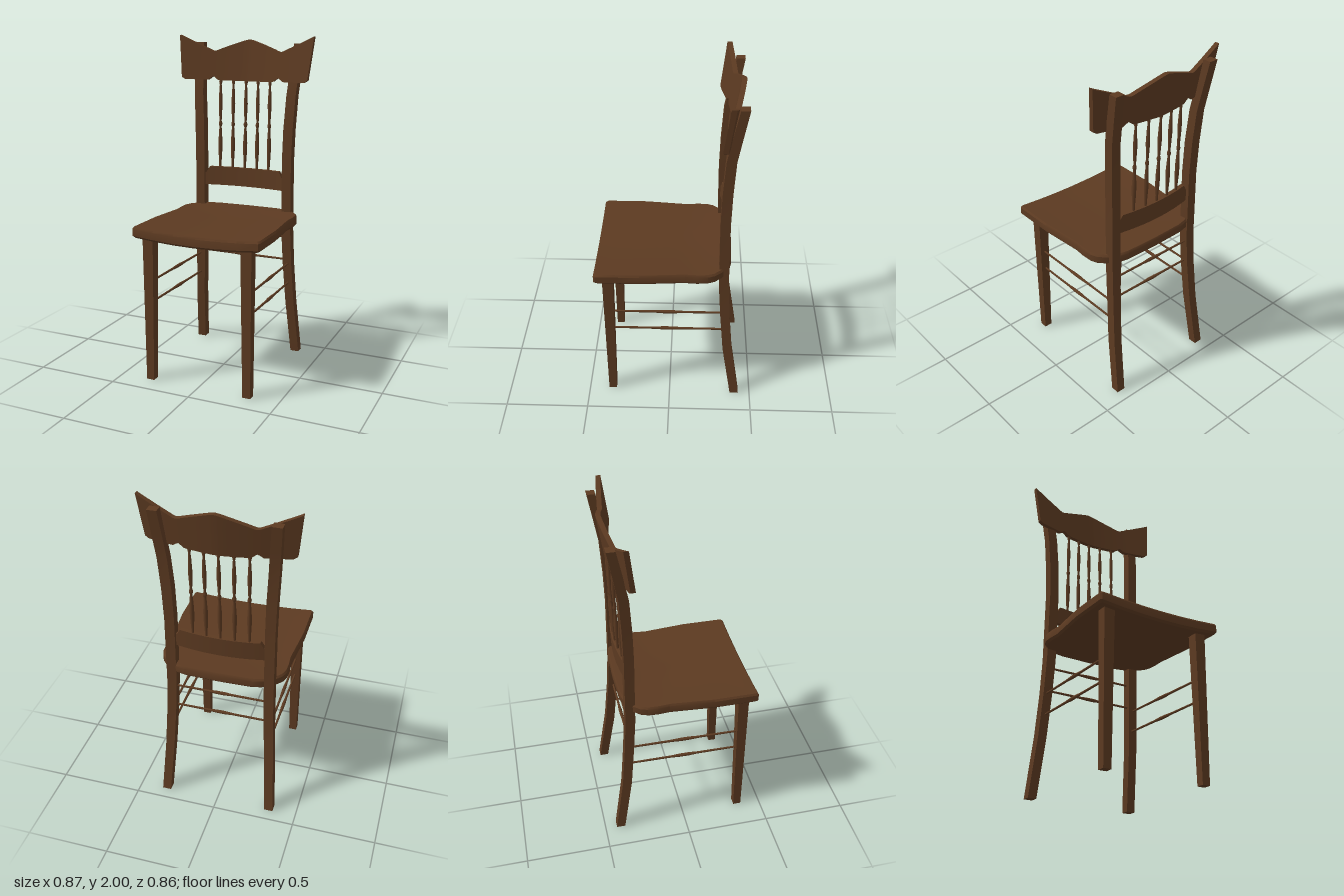
import * as THREE from 'three';
import { toCreasedNormals } from 'three/addons/utils/BufferGeometryUtils.js';

const wood = new THREE.MeshStandardMaterial({ color: 0x5c3a21 });
wood.name = 'brown wood';

function mesh(name, geometry) {
  const m = new THREE.Mesh(geometry, wood);
  m.name = name;
  return m;
}

// Square post lofted through sections [y, inner x, outer x, back z, front z]
function post(name, sections, side) {
  const n = sections.length - 1;
  const g = new THREE.BoxGeometry(1, 1, 1, 1, n, 1);
  const p = g.attributes.position;
  for (let i = 0; i < p.count; i++) {
    const [y, x0, x1, z0, z1] = sections[Math.round((p.getY(i) + 0.5) * n)];
    const outer = p.getX(i) * side > 0;
    p.setXYZ(i, side * (outer ? x1 : x0), y, p.getZ(i) > 0 ? z1 : z0);
  }
  return mesh(name, toCreasedNormals(g, 0.4));
}

// Bent board: half profile columns [x, bottom y, top y] mirrored, then bowed and leaned
function board(name, half, thick, taper, zAt) {
  const cols = [...half.slice(1).reverse().map(([x, a, b]) => [-x, a, b]), ...half];
  const n = cols.length - 1;
  const g = new THREE.BoxGeometry(1, 1, 1, n, 4, 1);
  const p = g.attributes.position;
  for (let i = 0; i < p.count; i++) {
    const [x, lo, hi] = cols[Math.round((p.getX(i) + 0.5) * n)];
    const v = p.getY(i) + 0.5;
    const y = lo + (hi - lo) * v;
    const px = x * (1 - taper * (1 - v));
    p.setXYZ(i, px, y, zAt(px, y) + p.getZ(i) * thick);
  }
  return mesh(name, toCreasedNormals(g, 0.5));
}

// Turned rod between two points, profile given as [radius, fraction of length]
function rod(name, a, b, profile) {
  const dir = b.clone().sub(a);
  const len = dir.length();
  const m = mesh(name, new THREE.LatheGeometry(
    profile.map(([r, t]) => new THREE.Vector2(r, t * len)), 10));
  m.position.copy(a);
  m.quaternion.setFromUnitVectors(new THREE.Vector3(0, 1, 0), dir.normalize());
  return m;
}

// Saddled seat: shrinking copies of the outline stacked from below to above
function seat() {
  const half = [[0, 0.43], [0.13, 0.43], [0.26, 0.43], [0.385, 0.43], [0.393, 0.42],
    [0.393, 0.3], [0.393, 0.17], [0.382, 0.04], [0.371, -0.09], [0.377, -0.16],
    [0.375, -0.22], [0.36, -0.26], [0.325, -0.3], [0.26, -0.34], [0.2, -0.353], [0, -0.358]];
  const outline = [...half, ...half.slice(1, -1).reverse().map(([x, z]) => [-x, z])];
  // [outline scale, underside 0 / top 1, height offset]
  const rings = [[0, 0, 0], [0.4, 0, 0], [0.75, 0, 0], [0.97, 0, 0], [1, 0, 0.012],
    [1, 1, -0.012], [0.98, 1, 0], [0.75, 1, 0], [0.4, 1, 0], [0, 1, 0]];
  const pos = [], idx = [], n = outline.length;
  rings.forEach(([s, top, off], r) => outline.forEach(([ox, oz], i) => {
    const x = ox * s, z = oz * s + 0.02 * (1 - s);
    const dip = (1 - (x / 0.393) ** 2) * THREE.MathUtils.smoothstep(z, -0.36, -0.1);
    pos.push(x + 0.008, (top ? 0.945 - 0.018 * dip : 0.882 - 0.022 * dip) + off, z);
    if (r === 0) return;
    const j = (i + 1) % n, a = (r - 1) * n + i, b = (r - 1) * n + j, c = r * n + j, d = r * n + i;
    if (r > 1) idx.push(a, b, c);
    if (r < rings.length - 1) idx.push(a, c, d);
    if (r === 1) idx.push(a, c, d);
  }));
  const g = new THREE.BufferGeometry();
  g.setAttribute('position', new THREE.Float32BufferAttribute(pos, 3));
  g.setIndex(idx);
  g.computeVertexNormals();
  return mesh('seat', toCreasedNormals(g, 0.6));
}

export function createModel() {
  const chair = new THREE.Group();
  chair.name = 'chair';
  chair.add(seat());

  // Legs, with the back pair running up as the back posts
  const frontLeg = [[0, 0.285, 0.333, 0.333, 0.38], [0.885, 0.272, 0.338, 0.325, 0.388]];
  const backPost = [
    [0, 0.305, 0.358, -0.43, -0.378], [0.35, 0.284, 0.338, -0.377, -0.322],
    [0.6, 0.27, 0.326, -0.355, -0.3], [0.82, 0.262, 0.32, -0.342, -0.285],
    [1.25, 0.26, 0.318, -0.337, -0.28], [1.45, 0.264, 0.323, -0.342, -0.285],
    [1.65, 0.275, 0.333, -0.353, -0.298], [1.8, 0.285, 0.343, -0.379, -0.326],
    [1.955, 0.297, 0.352, -0.407, -0.358]];
  for (const side of [1, -1]) {
    const word = side > 0 ? 'left' : 'right';
    chair.add(post(word + 'FrontLeg', frontLeg, side), post(word + 'BackPost', backPost, side));
  }

  // Crest rail with peaked top and notched lower edge
  const crestZ = (x, y) => -0.352 + 0.07 * (Math.abs(x) / 0.43) ** 1.4 - 0.15 * (y - 1.73);
  chair.add(board('crestRail', [
    [0, 1.725, 1.975], [0.03, 1.725, 1.968], [0.1, 1.726, 1.945], [0.17, 1.727, 1.92],
    [0.195, 1.73, 1.91], [0.21, 1.742, 1.905], [0.225, 1.752, 1.905], [0.24, 1.745, 1.911],
    [0.26, 1.73, 1.92], [0.33, 1.73, 1.951], [0.415, 1.732, 1.989], [0.437, 1.745, 2]],
  0.028, 0.06, crestZ));

  // Lower back rail with clipped top corners
  const railZ = (x, y) => -0.333 + 0.028 * (x / 0.26) ** 2 - 0.03 * (y - 1.07);
  chair.add(board('lowerRail', [
    [0, 1.07, 1.185], [0.08, 1.07, 1.185], [0.16, 1.07, 1.185], [0.232, 1.07, 1.185],
    [0.242, 1.07, 1.17], [0.252, 1.07, 1.15], [0.268, 1.07, 1.14]], 0.026, 0, railZ));

  // Turned spindles
  const spindle = [[0.007, 0], [0.008, 0.08], [0.012, 0.2], [0.013, 0.3], [0.009, 0.42],
    [0.007, 0.47], [0.011, 0.49], [0.011, 0.51], [0.007, 0.53], [0.009, 0.6],
    [0.012, 0.72], [0.009, 0.85], [0.006, 0.92], [0.01, 0.95], [0.007, 1]];
  for (let i = 0; i < 5; i++) {
    const x = -0.17 + i * 0.0815;
    chair.add(rod('spindle', new THREE.Vector3(x, 1.17, railZ(x, 1.17)),
      new THREE.Vector3(x, 1.745, crestZ(x, 1.73)), spindle));
  }

  // Thin stretchers with a swollen middle
  const stretcher = [[0.006, 0], [0.007, 0.38], [0.01, 0.46], [0.01, 0.54], [0.007, 0.62], [0.006, 1]];
  for (const y of [0.63, 0.775]) {
    chair.add(rod('backStretcher', new THREE.Vector3(-0.28, y, -0.32),
      new THREE.Vector3(0.28, y, -0.32), stretcher));
  }
  for (const side of [1, -1]) for (const y of [0.48, 0.608]) {
    chair.add(rod('sideStretcher', new THREE.Vector3(side * 0.305, y, 0.34),
      new THREE.Vector3(side * 0.302, y, -0.32), stretcher));
  }
  return chair;
}
